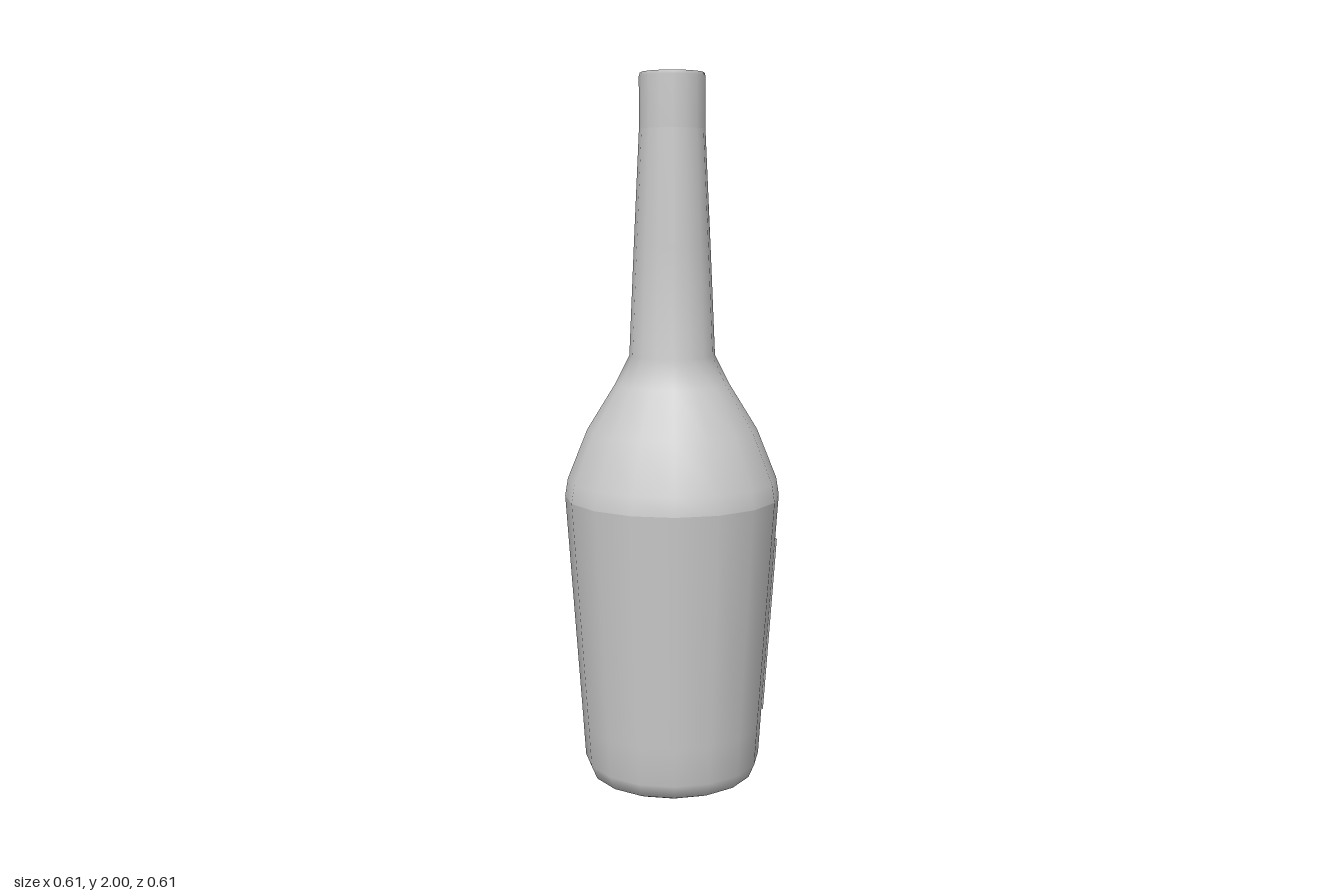
import * as THREE from 'three';

const SIDES = 16;

export function createModel() {
  const group = new THREE.Group();
  const material = new THREE.MeshStandardMaterial({ color: 0xcccccc });
  const thin = new THREE.MeshStandardMaterial({ color: 0xcccccc, side: THREE.DoubleSide });

  // Turns a [radius, height] profile, listed from bottom to top, around the y axis
  function turn(name, profile, mat = material, sides = SIDES, start = 0, sweep = Math.PI * 2) {
    const points = profile.map(([r, y]) => new THREE.Vector2(r, y));
    const mesh = new THREE.Mesh(new THREE.LatheGeometry(points, sides, start, sweep), mat);
    mesh.name = name;
    group.add(mesh);
  }

  // Flat discs closing the bottom and the mouth
  function disc(name, radius, y, facing) {
    const geometry = new THREE.CircleGeometry(radius, SIDES).rotateX(-facing * Math.PI / 2);
    const mesh = new THREE.Mesh(geometry, material);
    mesh.name = name;
    mesh.position.y = y;
    group.add(mesh);
  }

  disc('base', 0.19, 0, 1 * -1);

  // Tapered body with a rounded foot
  turn('body', [[0.19, 0], [0.235, 0.02], [0.252, 0.06], [0.259, 0.17], [0.304, 0.83]]);

  // Sloping shoulder running into the long neck
  turn('shoulderAndNeck', [
    [0.304, 0.83], [0.296, 0.88], [0.24, 1.02], [0.16, 1.15], [0.12, 1.23], [0.106, 1.54], [0.091, 1.85],
  ]);

  // Straight lip with a closed mouth
  turn('lip', [[0.091, 1.85], [0.091, 1.99], [0.088, 2]]);
  disc('mouth', 0.088, 2, 1);

  // Thin label wrapped around the back
  const step = Math.PI * 2 / SIDES;
  turn('backLabel', [[0.265, 0.19], [0.3, 0.7]], thin, 6, Math.PI - 3 * step, 6 * step);

  return group;
}
